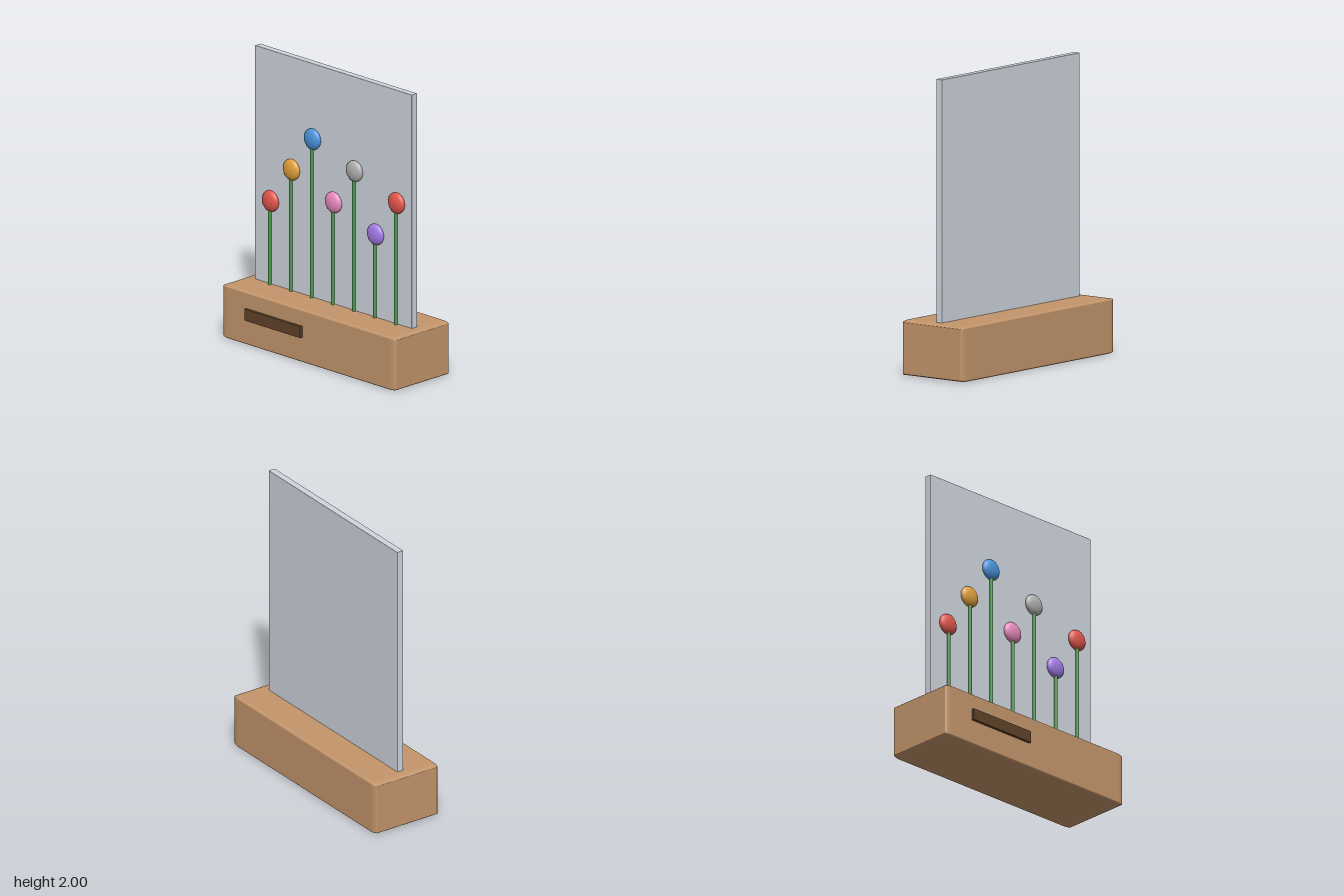
import * as THREE from 'three';
import { RoundedBoxGeometry } from 'three/addons/geometries/RoundedBoxGeometry.js';

export function createModel() {
  const model = new THREE.Group();
  const paint = (color) => new THREE.MeshStandardMaterial({ color });
  const add = (parent, name, geometry, material, x, y, z) => {
    const mesh = new THREE.Mesh(geometry, material);
    mesh.name = name;
    mesh.position.set(x, y, z);
    parent.add(mesh);
    return mesh;
  };

  // Wooden base: a rounded block stretched so its ends are the softest
  const k = 0.037;
  const base = add(model, 'base', new RoundedBoxGeometry(1, 1, 1, 5, k), paint(0xc4966c), 0, 0.185, -0.01);
  base.scale.set(1.625, 0.37, 0.52);

  // Dark plate on the front of the base
  add(model, 'frontPlate', new THREE.BoxGeometry(0.525, 0.08, 0.03), paint(0x5f4328), -0.318, 0.215, 0.254);

  // Upright backing panel
  add(model, 'backPanel', new RoundedBoxGeometry(1.47, 1.65, 0.05, 2, 0.004), paint(0xd0d5de), 0, 1.175, -0.01);

  // Flowers: thin stems with flattened round heads against the panel
  const stemMaterial = paint(0x4f9a50);
  const headGeometry = new THREE.SphereGeometry(0.073, 32, 20);
  const flowers = [
    [0.95, 0xe2574c], [1.215, 0xe0a03a], [1.475, 0x4a94dc], [1.08, 0xe88abf],
    [1.345, 0xb0b0b0], [0.95, 0xa47be6], [1.215, 0xe2574c],
  ];
  flowers.forEach(([height, color], i) => {
    const flower = new THREE.Group();
    flower.name = `flower${i + 1}`;
    flower.position.x = -0.582 + i * 0.197;
    const bottom = 0.35;
    add(flower, 'stem', new THREE.CylinderGeometry(0.012, 0.012, height - bottom, 12), stemMaterial,
      0, (height + bottom) / 2, 0.028);
    const head = add(flower, 'flowerHead', headGeometry, paint(color), 0, height, 0.022);
    head.scale.z = 0.46;
    model.add(flower);
  });

  return model;
}
